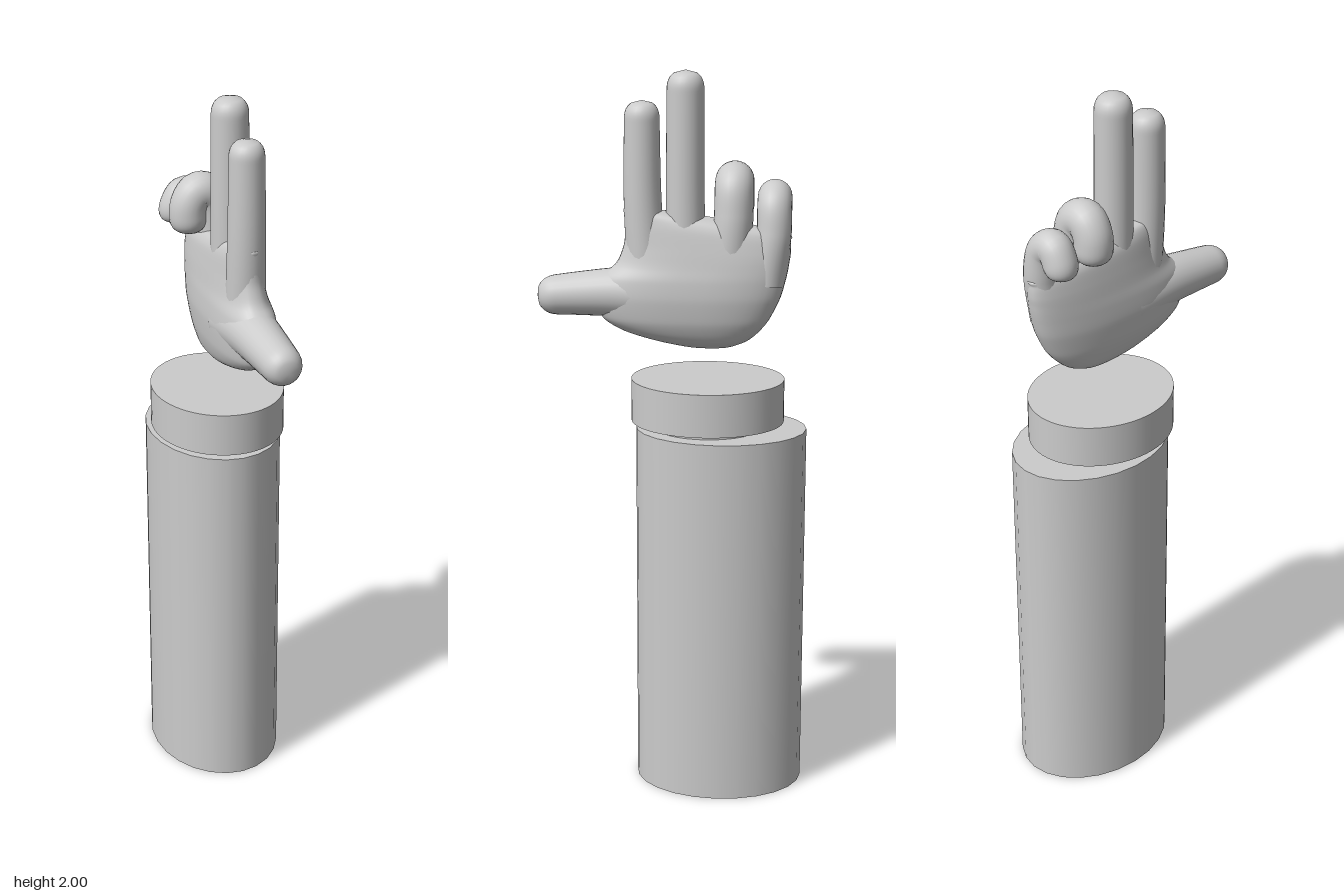
import * as THREE from 'three';
import { mergeVertices } from 'three/addons/utils/BufferGeometryUtils.js';

const material = new THREE.MeshStandardMaterial({ color: 0xcccccc });

function part(name, geometry) {
  const mesh = new THREE.Mesh(geometry, material);
  mesh.name = name;
  return mesh;
}

// Upright elliptical drum between two heights
function drum(name, y0, y1, rx, rz, z, sides) {
  const g = new THREE.CylinderGeometry(1, 1, y1 - y0, sides);
  g.scale(rx, 1, rz);
  g.translate(0, (y0 + y1) / 2, z);
  return part(name, g);
}

// Tapered tube along a path, with a rounded tip
function digit(name, path, r0, r1, blunt = 2.3) {
  const n = 64, sides = 24;
  const curve = new THREE.CatmullRomCurve3(path.map(p => new THREE.Vector3(...p)));
  const length = curve.getLength();
  const g = new THREE.TubeGeometry(curve, n, 1, sides);
  const pos = g.attributes.position, v = new THREE.Vector3();
  for (let i = 0; i <= n; i++) {
    const t = i / n, c = curve.getPointAt(t);
    let r = r0 + (r1 - r0) * t;
    const u = Math.max(0, 1 - (1 - t) * length / r);
    r *= Math.pow(Math.max(0, 1 - Math.pow(u, blunt)), 1 / blunt);
    for (let j = 0; j <= sides; j++) {
      const k = i * (sides + 1) + j;
      v.fromBufferAttribute(pos, k).sub(c).multiplyScalar(r).add(c);
      pos.setXYZ(k, v.x, v.y, v.z);
    }
  }
  g.deleteAttribute('uv');
  g.deleteAttribute('normal');
  const smooth = mergeVertices(g, 1e-5);
  smooth.computeVertexNormals();
  return part(name, smooth);
}

// Palm lofted through rounded sections: y, zMin, zMax, xMin, xMax
function palmGeometry() {
  const sections = [
    [1.255, -0.1, -0.098, 0.005, 0.007],
    [1.262, -0.155, -0.03, -0.018, 0.036],
    [1.28, -0.2, 0.055, -0.036, 0.06],
    [1.305, -0.23, 0.135, -0.046, 0.076],
    [1.34, -0.258, 0.19, -0.054, 0.089],
    [1.4, -0.287, 0.21, -0.059, 0.097],
    [1.45, -0.301, 0.195, -0.056, 0.095],
    [1.485, -0.308, 0.155, -0.051, 0.089],
    [1.53, -0.313, 0.131, -0.045, 0.081],
    [1.58, -0.312, 0.127, -0.036, 0.07],
    [1.605, -0.3, 0.117, -0.02, 0.055],
    [1.615, -0.1, -0.098, 0.015, 0.017],
  ];
  const side = (a, b) => new THREE.CatmullRomCurve3(
    sections.map(s => new THREE.Vector3(s[0], s[a], s[b])), false, 'catmullrom', 0.4);
  const zs = side(1, 2), xs = side(3, 4);
  const rings = 66, seg = 48, pts = [], index = [];
  const power = v => Math.sign(v) * Math.pow(Math.abs(v), 0.85);
  for (let i = 0; i <= rings; i++) {
    const a = zs.getPoint(i / rings), b = xs.getPoint(i / rings);
    for (let j = 0; j < seg; j++) {
      const t = j / seg * Math.PI * 2;
      const z = (a.y + a.z) / 2 + (a.z - a.y) / 2 * power(Math.cos(t));
      const x = (b.y + b.z) / 2 + (b.z - b.y) / 2 * power(Math.sin(t));
      // The knuckle line falls towards the little finger
      const slope = THREE.MathUtils.clamp((a.x - 1.5) / 0.1, 0, 1) * 0.15;
      pts.push(x, a.x + (z + 0.1) * slope, z);
      if (i < rings) {
        const p = i * seg + j, q = i * seg + (j + 1) % seg;
        index.push(p, q, p + seg, q, q + seg, p + seg);
      }
    }
  }
  const g = new THREE.BufferGeometry();
  g.setAttribute('position', new THREE.Float32BufferAttribute(pts, 3));
  g.setIndex(index);
  g.computeVertexNormals();
  return g;
}

// Finger hooked over towards -x, with its knuckle at height top
function curledFinger(name, z, top, r, drop) {
  return digit(name, [
    [0.025, 1.44, z * 0.93],
    [0.025, top - 0.14, z],
    [0.008, top - 0.065, z],
    [-0.025, top - r, z],
    [-0.05, top - 0.085, z],
    [-0.053, top - drop, z],
  ], r, r * 0.96, 2.6);
}

export function createModel() {
  const model = new THREE.Group();

  // Pedestal: forearm column, recessed neck and wrist cap
  model.add(
    drum('column', 0, 1.032, 0.18, 0.233, -0.13, 24),
    drum('neck', 1.03, 1.057, 0.128, 0.147, -0.092, 48),
    drum('wristCap', 1.052, 1.17, 0.179, 0.208, -0.093, 64),
  );

  // Floating hand
  const hand = new THREE.Group();
  hand.name = 'hand';
  hand.add(
    part('palm', palmGeometry()),
    digit('thumb', [[0.018, 1.4, 0], [0.016, 1.407, 0.14], [0.015, 1.402, 0.25], [0.015, 1.393, 0.367]], 0.078, 0.05),
    digit('indexFinger', [[0.017, 1.44, 0.068], [0.015, 1.65, 0.081], [0.014, 1.92, 0.083]], 0.054, 0.046),
    digit('middleFinger', [[0.017, 1.44, -0.035], [0.015, 1.65, -0.032], [0.014, 2, -0.032]], 0.053, 0.049),
    curledFinger('ringFinger', -0.161, 1.76, 0.053, 0.165),
    curledFinger('littleFinger', -0.268, 1.713, 0.047, 0.125),
  );
  model.add(hand);
  return model;
}
